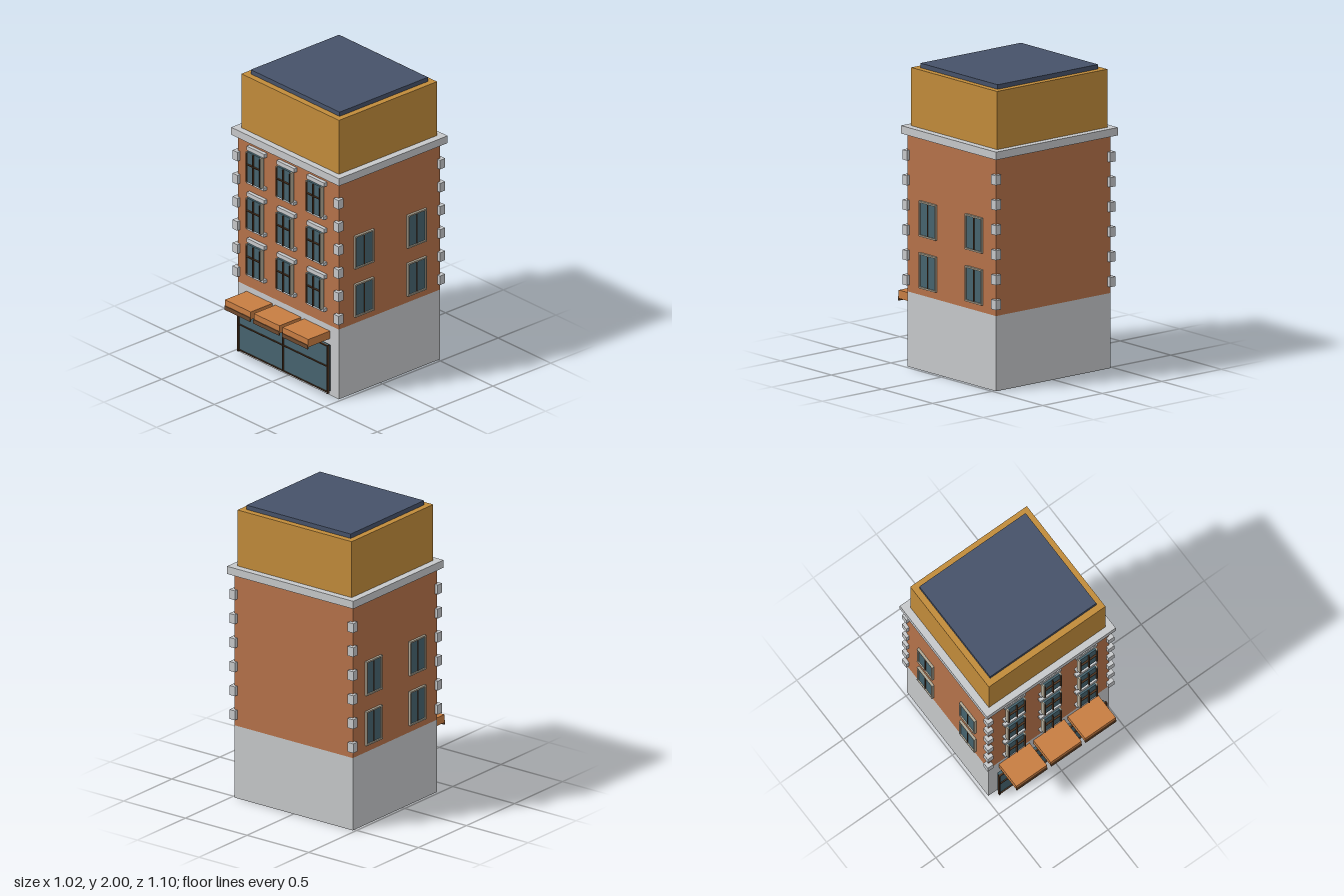
import * as THREE from 'three';

const mat = (name, color) => {
  const m = new THREE.MeshStandardMaterial({ color });
  m.name = name;
  return m;
};

export function createModel() {
  const stone = mat('stone', 0xc6c8ca);
  const brick = mat('brick', 0xb5724a);
  const ochre = mat('ochre', 0xc18b3a);
  const slate = mat('slate', 0x465269);
  const glass = mat('glass', 0x46636e);
  const canvas = mat('awning orange', 0xc77d42);
  const dark = mat('dark brown', 0x4a3220);
  const valance = mat('valance brown', 0x6e4a2e);
  const trim = mat('window trim', 0xb0a896);

  const building = new THREE.Group();
  building.name = 'building';

  // Box given by its lower and upper limits on each axis
  const box = (parent, name, m, [x0, x1], [y0, y1], [z0, z1]) => {
    const mesh = new THREE.Mesh(new THREE.BoxGeometry(x1 - x0, y1 - y0, z1 - z0), m);
    mesh.position.set((x0 + x1) / 2, (y0 + y1) / 2, (z0 + z1) / 2);
    mesh.name = name;
    parent.add(mesh);
    return mesh;
  };
  const group = (name) => {
    const g = new THREE.Group();
    g.name = name;
    building.add(g);
    return g;
  };

  // Main masses
  box(building, 'groundFloor', stone, [-0.48, 0.48], [0, 0.495], [-0.515, 0.36]);
  box(building, 'brickStoreys', brick, [-0.48, 0.48], [0.495, 1.535], [-0.515, 0.36]);
  box(building, 'cornice', stone, [-0.512, 0.512], [1.535, 1.587], [-0.552, 0.388]);
  box(building, 'attic', ochre, [-0.463, 0.463], [1.587, 1.97], [-0.505, 0.343]);
  box(building, 'roof', slate, [-0.422, 0.422], [1.97, 2], [-0.463, 0.3]);

  // Corner stones
  for (const x of [-0.48, 0.48]) {
    for (const z of [-0.517, 0.362]) {
      for (let i = 0; i < 6; i++) {
        const y = 0.573 + i * 0.1645;
        box(building, 'cornerStone', stone, [x - 0.0225, x + 0.0225], [y - 0.032, y + 0.032], [z - 0.0225, z + 0.0225]);
      }
    }
  }

  // Front windows: glass, side rails, bars, lintel and sill; z = 0 is the wall
  for (const x of [-0.285, 0, 0.285]) {
    for (const y of [0.605, 0.932, 1.26]) {
      const w = group('frontWindow');
      w.position.set(x, y, 0.36);
      box(w, 'pane', glass, [-0.065, 0.065], [0, 0.215], [0.016, 0.038]);
      for (const s of [-1, 1]) {
        box(w, 'sideRail', trim, [s * 0.067 - 0.005, s * 0.067 + 0.005], [0, 0.215], [0.016, 0.046]);
        box(w, 'sideEdge', dark, [s * 0.063 - 0.002, s * 0.063 + 0.002], [0.008, 0.207], [0.04, 0.051]);
      }
      box(w, 'uprightBar', dark, [-0.003, 0.003], [0.003, 0.213], [0.038, 0.053]);
      box(w, 'crossBar', dark, [-0.064, 0.064], [0.127, 0.133], [0.038, 0.051]);
      box(w, 'lintel', stone, [-0.084, 0.084], [0.216, 0.244], [0, 0.025]);
      box(w, 'sill', stone, [-0.082, 0.082], [-0.018, 0.003], [0, 0.028]);
    }
  }

  // Side windows on both walls
  for (const side of [-1, 1]) {
    for (const z of [0.148, -0.307]) {
      for (const y of [0.548, 0.89]) {
        const w = group('sideWindow');
        w.position.set(side * 0.48, y, z);
        w.rotation.y = side * Math.PI / 2;
        box(w, 'pane', glass, [-0.075, 0.075], [0.003, 0.22], [0, 0.008]);
        for (const s of [-1, 1]) {
          box(w, 'sideRail', trim, [s * 0.077 - 0.005, s * 0.077 + 0.005], [-0.003, 0.226], [0, 0.016]);
        }
        box(w, 'topRail', trim, [-0.082, 0.082], [0.218, 0.228], [0, 0.017]);
        box(w, 'bottomRail', trim, [-0.082, 0.082], [-0.005, 0.005], [0, 0.017]);
        box(w, 'uprightBar', dark, [-0.003, 0.003], [0.005, 0.218], [0.008, 0.013]);
      }
    }
  }

  // Shop window with posts and bars
  const shop = group('shopWindow');
  box(shop, 'pane', glass, [-0.42, 0.42], [0.045, 0.37], [0.376, 0.4]);
  for (const x of [-0.424, 0.424]) {
    box(shop, 'post', dark, [x - 0.004, x + 0.004], [0.035, 0.378], [0.395, 0.412]);
  }
  box(shop, 'uprightBar', dark, [-0.004, 0.004], [0.045, 0.37], [0.4, 0.412]);
  box(shop, 'crossBar', dark, [-0.42, 0.42], [0.222, 0.229], [0.4, 0.408]);
  box(shop, 'topBar', dark, [-0.42, 0.42], [0.367, 0.373], [0.395, 0.408]);
  box(shop, 'bottomBar', dark, [-0.42, 0.42], [0.042, 0.048], [0.395, 0.408]);

  // Three awnings with a hanging front edge
  for (const x of [-0.274, 0, 0.273]) {
    const a = group('awning');
    a.position.x = x;
    box(a, 'canopy', canvas, [-0.122, 0.122], [0.4, 0.455], [0.36, 0.547]);
    box(a, 'valance', valance, [-0.122, 0.122], [0.386, 0.414], [0.543, 0.552]);
  }

  return building;
}
